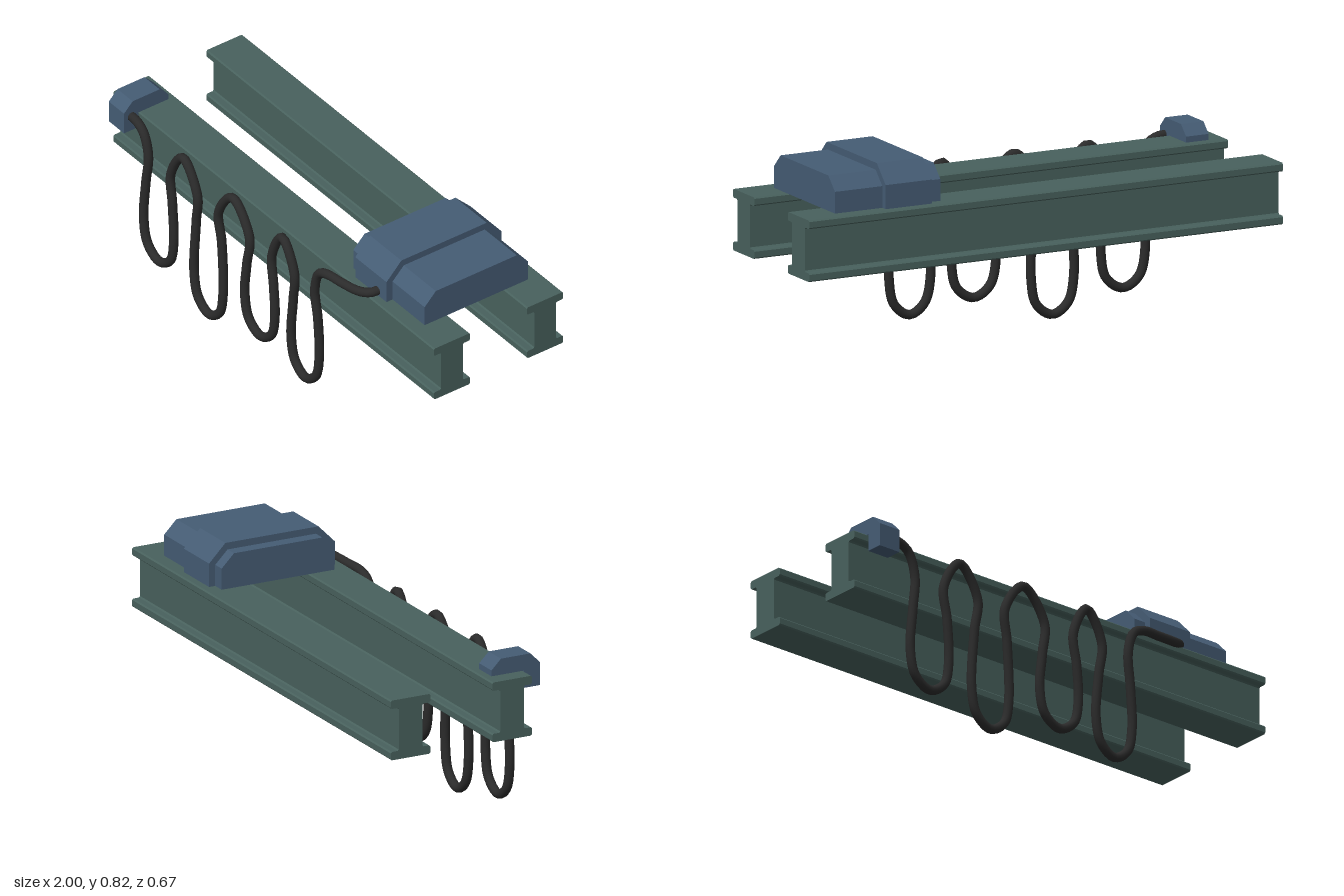
import * as THREE from 'three';

const material = (name, color) => {
  const m = new THREE.MeshStandardMaterial({ color });
  m.name = name;
  return m;
};

// Extrudes a [z, y] cross-section along x from x0 to x1
function prism(name, points, x0, x1, mat) {
  const shape = new THREE.Shape(points.map(([z, y]) => new THREE.Vector2(-z, y)));
  const geo = new THREE.ExtrudeGeometry(shape, { depth: x1 - x0, bevelEnabled: false });
  geo.rotateY(Math.PI / 2).translate(x0, 0, 0);
  const mesh = new THREE.Mesh(geo, mat);
  mesh.name = name;
  return mesh;
}

// I-beam section centred on z = c
function beamSection(c) {
  const f = 0.084, w = 0.05, b = 0.42, t = 0.655, h = 0.033, k = 0.005;
  const half = [
    [f - k, b], [f, b + k], [f, b + h - k], [f - k, b + h], [w + k, b + h], [w, b + h + k],
    [w, t - h - k], [w + k, t - h], [f - k, t - h], [f, t - h + k], [f, t - k], [f - k, t],
  ];
  const other = half.map(([z, y]) => [-z, y]).reverse();
  return [...half, ...other].map(([z, y]) => [z + c, y]);
}

// Block section with chamfered top corners
const housing = (z0, z1, top, cz, cy) => [
  [z0, 0.655], [z1, 0.655], [z1, top - cy], [z1 - cz, top], [z0 + cz, top], [z0, top - cy],
];

export function createModel() {
  const group = new THREE.Group();
  const green = material('rail green', 0x48615d);
  const blue = material('housing blue', 0x455c74);
  const black = material('cable black', 0x2b2b2b);

  // Pair of rails
  group.add(prism('frontRail', beamSection(0.182), -1, 1, green));
  group.add(prism('backRail', beamSection(-0.249), -1, 1, green));

  // Carriage: low body with a taller collar around it
  group.add(prism('carriageBody', housing(-0.274, 0.205, 0.79, 0.052, 0.052), 0.415, 0.86, blue));
  group.add(prism('carriageCollar', housing(-0.3, 0.233, 0.817, 0.069, 0.07), 0.465, 0.66, blue));

  // Cable clamp hooked over the front rail
  group.add(prism('cableClamp', [
    [0.13, 0.655], [0.268, 0.655], [0.268, 0.587], [0.335, 0.587],
    [0.335, 0.678], [0.295, 0.718], [0.17, 0.718], [0.13, 0.678],
  ], -0.935, -0.84, blue));

  // Hanging cable: [left x, right x, lowest y] of each loop
  const path = [[-0.87, 0.65, 0.3], [-0.81, 0.648, 0.3], [-0.765, 0.62, 0.3]];
  const loops = [
    [-0.76, -0.573, 0.085], [-0.455, -0.275, 0.018], [-0.13, 0.058, 0.117], [0.15, 0.325, 0.083],
  ];
  loops.forEach(([l, r, low], i) => {
    const mid = (l + r) / 2, z = 0.3 + (i % 2 ? -0.004 : 0.003);
    path.push(
      [l + 0.025, 0.53, 0.3], [l + 0.013, 0.4, z], [l, low + 0.14, z], [l + 0.025, low + 0.04, z],
      [mid, low, z],
      [r - 0.022, low + 0.045, z], [r, low + 0.14, z], [r - 0.008, 0.4, z], [r - 0.022, 0.53, 0.3],
    );
    const next = loops[i + 1];
    if (next) path.push([(r + next[0]) / 2 - 0.002, 0.65, 0.3]);
  });
  path.push([0.33, 0.62, 0.3], [0.38, 0.645, 0.298], [0.46, 0.65, 0.29],
    [0.55, 0.658, 0.275], [0.595, 0.67, 0.25], [0.607, 0.683, 0.2]);
  const curve = new THREE.CatmullRomCurve3(path.map((p) => new THREE.Vector3(...p)));
  const cable = new THREE.Mesh(new THREE.TubeGeometry(curve, 320, 0.018, 12), black);
  cable.name = 'cable';
  group.add(cable);

  return group;
}
